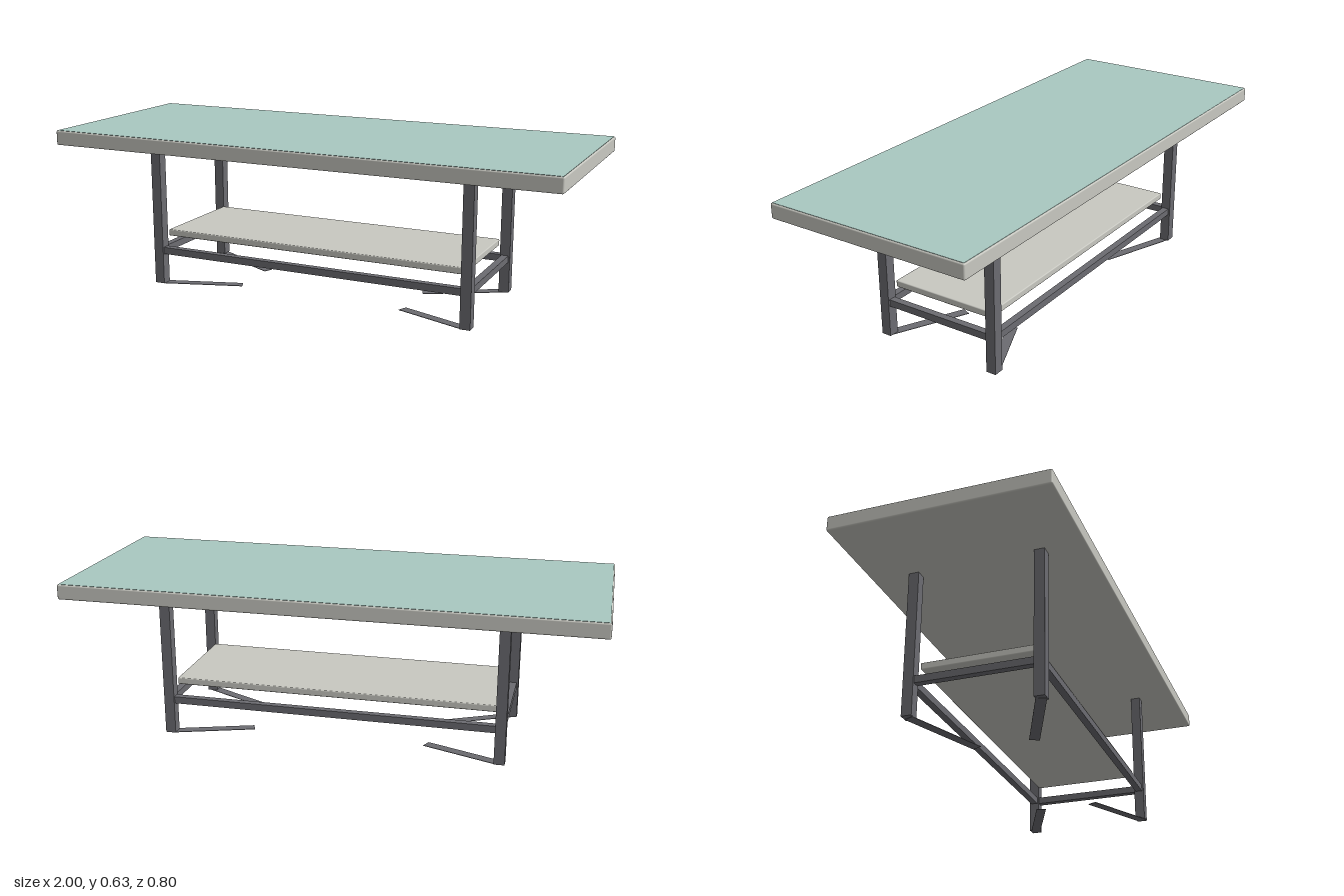
import * as THREE from 'three';
import { RoundedBoxGeometry } from 'three/addons/geometries/RoundedBoxGeometry.js';

const paleGrey = new THREE.MeshStandardMaterial({ name: 'pale grey', color: 0xc8c8c1 });
const tealGlass = new THREE.MeshStandardMaterial({ name: 'teal glass', color: 0xa9c8c1 });
const darkMetal = new THREE.MeshStandardMaterial({ name: 'dark metal', color: 0x6c6c71 });

export function createModel() {
  const table = new THREE.Group();
  table.name = 'table';

  const add = (name, geometry, material, x, y, z) => {
    const mesh = new THREE.Mesh(geometry, material);
    mesh.name = name;
    mesh.position.set(x, y, z);
    table.add(mesh);
    return mesh;
  };

  // Softly bevelled slabs: table top and lower shelf
  add('tableTop', new RoundedBoxGeometry(2, 0.057, 0.8, 2, 0.006), paleGrey, 0, 0.5975, 0);
  add('shelf', new RoundedBoxGeometry(1.236, 0.026, 0.424, 2, 0.004), paleGrey, 0, 0.213, 0);

  // Glass sheet covering the table top
  add('glassSheet', new THREE.BoxGeometry(1.99, 0.002, 0.79), tealGlass, 0, 0.626, 0);

  // Rails joining the legs
  for (const s of [-1, 1]) {
    add('longRail', new THREE.BoxGeometry(1.24, 0.027, 0.027), darkMetal, 0, 0.147, s * 0.236);
    add('shortRail', new THREE.BoxGeometry(0.027, 0.027, 0.434), darkMetal, s * 0.64, 0.147, 0);
  }

  // Legs, each with a thin foot strip sloping inward to the floor
  const legHeight = 0.558;
  for (const sx of [-1, 1]) {
    for (const sz of [-1, 1]) {
      add('leg', new THREE.BoxGeometry(0.04, legHeight, 0.039), darkMetal,
        sx * 0.64, 0.012 + legHeight / 2, sz * 0.2365);

      const start = new THREE.Vector3(sx * 0.64, 0.0115, sz * 0.2365);
      const end = new THREE.Vector3(sx * 0.345, 0.001, sz * 0.108);
      const middle = start.clone().add(end).multiplyScalar(0.5);
      const foot = add('footStrip', new THREE.BoxGeometry(0.038, 0.002, start.distanceTo(end)),
        darkMetal, middle.x, middle.y, middle.z);
      foot.lookAt(end);
    }
  }
  return table;
}
